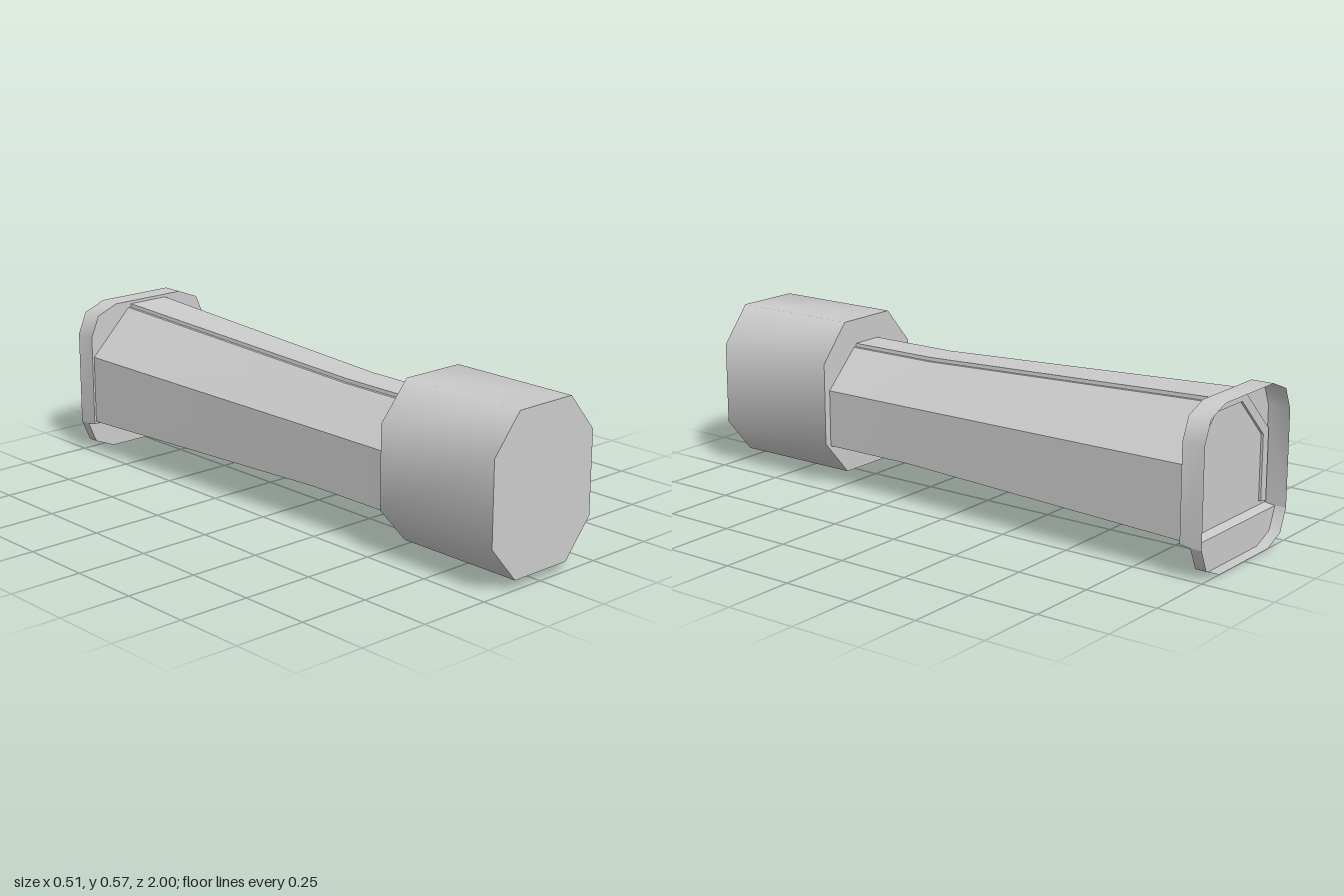
import * as THREE from 'three';
import { toCreasedNormals } from 'three/addons/utils/BufferGeometryUtils.js';

const solid = new THREE.MeshStandardMaterial({ color: 0xcccccc });
const sheet = new THREE.MeshStandardMaterial({ color: 0xcccccc, side: THREE.DoubleSide });

const mirrored = (pts) => pts.map(([x, y, z]) => [-x, y, z]);

// Skin cross-sections (counterclockwise, ordered front to back) into a surface.
function loft(sections, { closed = true, caps = true, crease = 1 } = {}) {
  const n = sections[0].length;
  const index = [];
  for (let s = 0; s < sections.length - 1; s++) {
    for (let i = 0; i < (closed ? n : n - 1); i++) {
      const j = (i + 1) % n;
      const a = s * n + i, b = s * n + j, c = b + n, d = a + n;
      index.push(a, d, c, a, c, b);
    }
  }
  if (caps) {
    [0, sections.length - 1].forEach((s, end) => {
      const contour = sections[s].map(([x, y]) => new THREE.Vector2(x, y));
      for (const [a, b, c] of THREE.ShapeUtils.triangulateShape(contour, [])) {
        const o = s * n;
        index.push(o + a, o + (end ? c : b), o + (end ? b : c));
      }
    });
  }
  const g = new THREE.BufferGeometry();
  g.setAttribute('position', new THREE.Float32BufferAttribute(sections.flat(2), 3));
  g.setIndex(index);
  return toCreasedNormals(g, crease);
}

function add(group, name, geometry, material = solid) {
  const mesh = new THREE.Mesh(geometry, material);
  mesh.name = name;
  group.add(mesh);
}

// Octagonal section of the front block
function octagon(w, z) {
  const half = [[0.115, 0.035, z], [w, 0.16, z], [w, 0.443, z], [0.115, 0.57, z]];
  return [...half, ...mirrored(half).reverse()];
}

// Section of the grip: an upturned U with a raised strip along its top
function gripSection({ z, w, bottom, shoulder, top, strip }) {
  const t = 0.033;
  const outer = [
    [w, bottom, z], [w, shoulder, z], [strip + 0.012, top - 0.012, z],
    [strip + 0.002, top - 0.012, z], [strip, top, z],
  ];
  const inner = [
    [w - t, bottom + 0.006, z], [w - t, shoulder - 0.013, z], [strip, top - 0.045, z],
  ];
  return [...outer, ...mirrored(outer).reverse(), ...mirrored(inner), ...inner.reverse()];
}

export function createModel() {
  const group = new THREE.Group();
  group.name = 'taperedGrip';

  add(group, 'frontBlock', loft([octagon(0.221, 1), octagon(0.225, 0.53)]));

  const slim = { w: 0.2, bottom: 0.148, shoulder: 0.345, top: 0.485, strip: 0.057 };
  add(group, 'gripShell', loft([
    gripSection({ ...slim, z: 0.53 }),
    gripSection({ ...slim, z: 0.2 }),
    gripSection({ z: -0.93, w: 0.25, bottom: 0.123, shoulder: 0.365, top: 0.535, strip: 0.078 }),
  ], { crease: 0.3 }));

  // Rear flange: a thin pan open to the back, shallower at its foot
  const flange = new THREE.Group();
  flange.name = 'rearFlange';
  const upperZ = -0.922, lowerZ = -0.96, backZ = -1;
  const upperHalf = [[0.257, 0.115], [0.257, 0.438], [0.225, 0.513], [0.145, 0.545]];
  const lowerHalf = [[0.148, 0.003], [0.225, 0.035], [0.257, 0.11]];
  const upper = [...upperHalf, ...mirrored(upperHalf).reverse().map(([x, y]) => [x, y])];
  const lower = [...mirrored(lowerHalf).reverse(), ...lowerHalf].map(([x, y]) => [x, y]);
  const at = (pts, z) => pts.map(([x, y]) => [x, y, z]);

  [['upper', upper, upperZ], ['lower', lower, lowerZ]].forEach(([name, pts, z]) => {
    const shape = new THREE.Shape(pts.map(([x, y]) => new THREE.Vector2(x, y)));
    add(flange, name + 'Panel', new THREE.ShapeGeometry(shape).translate(0, 0, z), sheet);
    add(flange, name + 'Rim',
      loft([at(pts, z), at(pts, backZ)], { closed: false, caps: false }), sheet);
  });

  // Ledge joining the two panels, and the short rim strips beside it
  add(flange, 'ledge', loft([
    [[-0.257, 0.115, upperZ], [0.257, 0.115, upperZ]],
    [[-0.257, 0.11, lowerZ], [0.257, 0.11, lowerZ]],
  ], { closed: false, caps: false }), sheet);
  for (const x of [0.257, -0.257]) {
    add(flange, 'rimJoint', loft([
      [[x, 0.11, lowerZ], [x, 0.115, upperZ]],
      [[x, 0.11, backZ], [x, 0.115, backZ]],
    ], { closed: false, caps: false }), sheet);
  }
  group.add(flange);
  return group;
}
